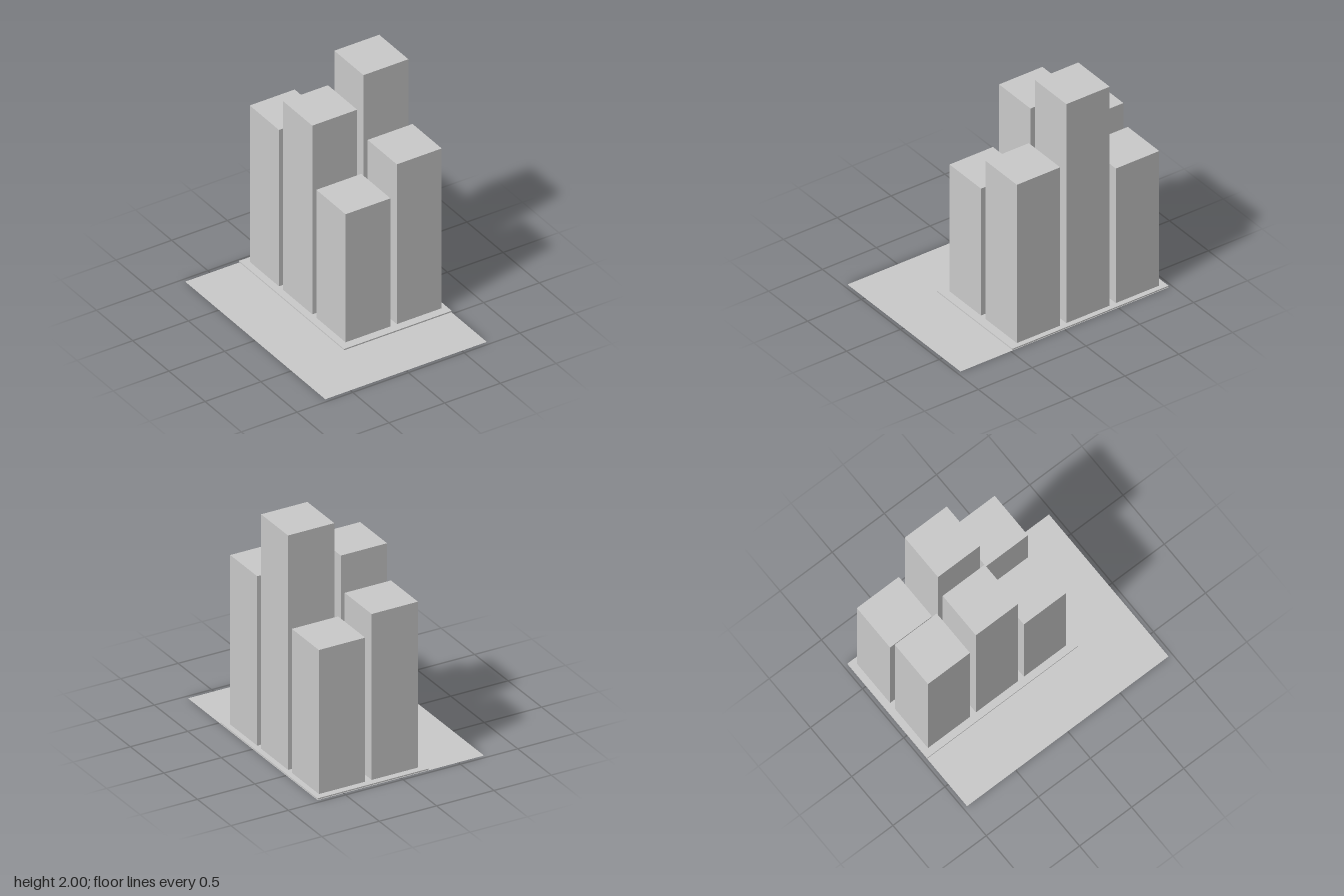
import * as THREE from 'three';

const material = new THREE.MeshStandardMaterial({ color: 0xcccccc, flatShading: true });
const groundMaterial = new THREE.MeshStandardMaterial({ color: 0xcccccc, side: THREE.DoubleSide });

// Box given by its centre in plan, its size, and its bottom and top heights
function block(name, x, z, width, depth, bottom, top) {
  const mesh = new THREE.Mesh(new THREE.BoxGeometry(width, top - bottom, depth), material);
  mesh.position.set(x, (bottom + top) / 2, z);
  mesh.name = name;
  return mesh;
}

export function createModel() {
  const model = new THREE.Group();
  model.name = 'cityBlock';

  // Flat ground sheet
  const ground = new THREE.Mesh(new THREE.PlaneGeometry(1.45, 1.934), groundMaterial);
  ground.rotation.x = -Math.PI / 2;
  ground.name = 'ground';
  model.add(ground);

  // Thin pavement in the back corner of the ground
  const pavementTop = 0.015;
  model.add(block('pavement', 0.242, -0.242, 0.966, 1.45, 0.004, pavementTop));

  // Two columns of towers, rows from front to back
  const towers = new THREE.Group();
  towers.name = 'towers';
  const columns = [0.02, 0.48];
  const rows = [0.21, -0.25, -0.71];
  const heights = [[1.165, 1.45], [1.71, 2], [1.42, 1.235]];
  rows.forEach((z, r) => columns.forEach((x, c) => {
    towers.add(block('tower', x, z, 0.403, 0.403, pavementTop, heights[r][c]));
  }));
  model.add(towers);

  return model;
}
